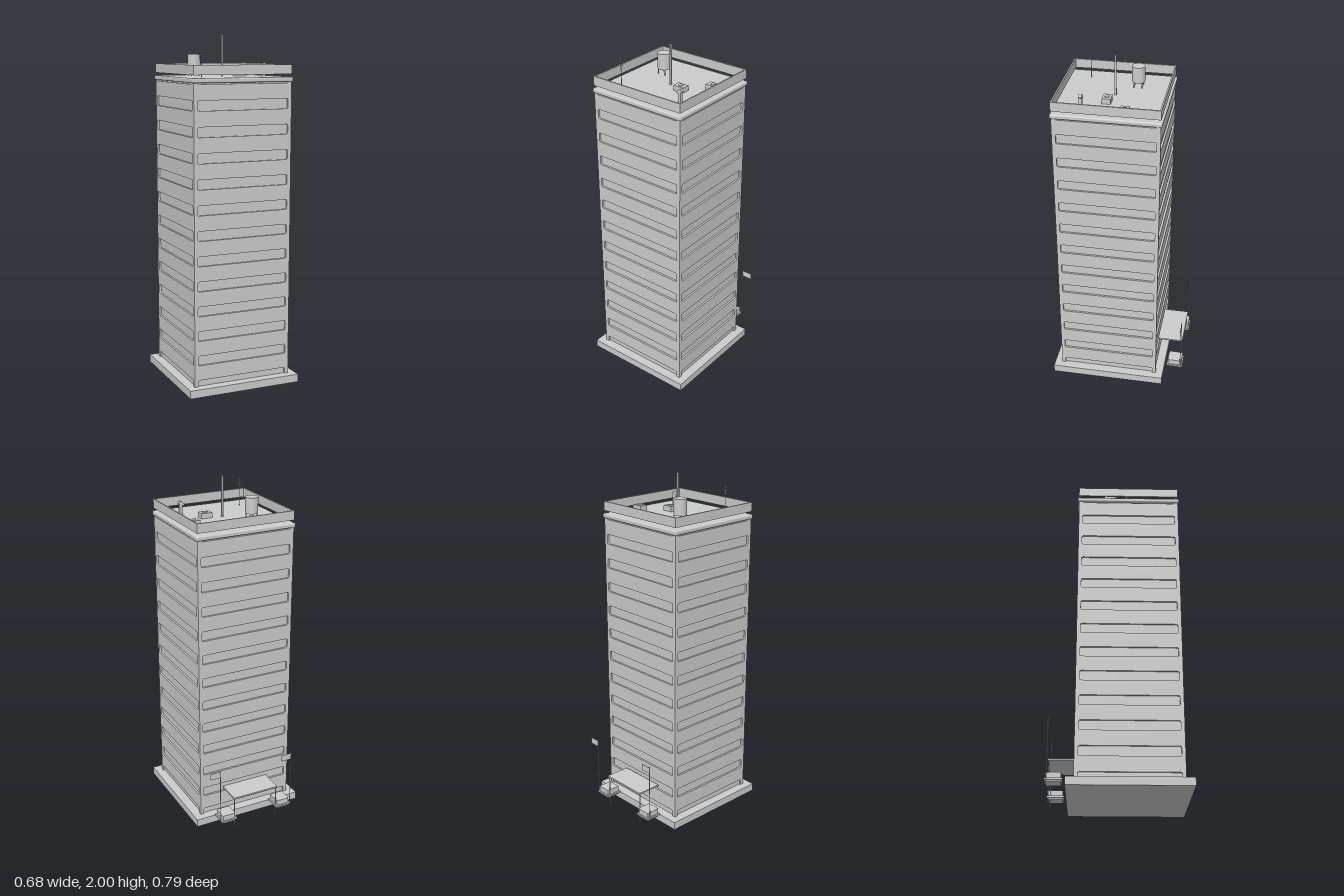
import * as THREE from 'three';
import { RoundedBoxGeometry } from 'three/addons/geometries/RoundedBoxGeometry.js';

const CZ = 0.055;      // tower centre in z
const ROOF = 1.768;    // roof floor height
const mat = new THREE.MeshStandardMaterial({ color: 0xcccccc, flatShading: true });
const smooth = new THREE.MeshStandardMaterial({ color: 0xcccccc });

function add(parent, name, geo, x = 0, y = 0, z = 0, material = mat) {
  const m = new THREE.Mesh(geo, material);
  m.name = name;
  m.position.set(x, y, z);
  parent.add(m);
  return m;
}

// box given by its bounds in x, y and z
function box(parent, name, x0, x1, y0, y1, z0, z1) {
  return add(parent, name, new THREE.BoxGeometry(x1 - x0, y1 - y0, z1 - z0),
    (x0 + x1) / 2, (y0 + y1) / 2, (z0 + z1) / 2);
}

// upright cylinder standing on y0
function post(parent, name, r, y0, y1, x, z, sides = 8) {
  return add(parent, name, new THREE.CylinderGeometry(r, r, y1 - y0, sides), x, (y0 + y1) / 2, z, smooth);
}

function roundRect(path, x0, y0, x1, y1, r) {
  path.moveTo(x0 + r, y0);
  path.lineTo(x1 - r, y0);
  path.quadraticCurveTo(x1, y0, x1, y0 + r);
  path.lineTo(x1, y1 - r);
  path.quadraticCurveTo(x1, y1, x1 - r, y1);
  path.lineTo(x0 + r, y1);
  path.quadraticCurveTo(x0, y1, x0, y1 - r);
  path.lineTo(x0, y0 + r);
  path.quadraticCurveTo(x0, y0, x0 + r, y0);
  return path;
}

const square = (Type, h) =>
  new Type([[-h, -h], [h, -h], [h, h], [-h, h]].map(([x, y]) => new THREE.Vector2(x, y)));

function buildTower(g) {
  box(g, 'plinth', -0.338, 0.338, 0, 0.046, CZ - 0.338, CZ + 0.338);
  box(g, 'windowCore', -0.283, 0.283, 0.01, 1.76, CZ - 0.283, CZ + 0.283);

  // one wall with rows of rounded window bands, turned to the four sides
  const half = 0.294, depth = 0.014;
  const shape = new THREE.Shape([
    new THREE.Vector2(-half, 0.01), new THREE.Vector2(half, 0.01),
    new THREE.Vector2(half, 1.765), new THREE.Vector2(-half, 1.765)]);
  for (let i = 0; i < 13; i++) {
    const y = 0.055 + i * 0.1424;
    shape.holes.push(roundRect(new THREE.Path(), -0.273, y - 0.028, 0.273, Math.min(y + 0.028, 1.76), 0.01));
  }
  const wall = new THREE.ExtrudeGeometry(shape, { depth, bevelEnabled: false, curveSegments: 4 });
  wall.translate(0, 0, half - depth);
  for (let i = 0; i < 4; i++) {
    add(g, 'wall', wall, 0, 0, CZ).rotation.y = i * Math.PI / 2;
  }

  // rounded cornice that also carries the roof floor
  add(g, 'cornice', new RoundedBoxGeometry(0.604, 0.026, 0.604, 3, 0.008), 0, ROOF - 0.013, CZ, smooth);

  // parapet frame just above the cornice
  const frame = square(THREE.Shape, 0.295);
  frame.holes.push(square(THREE.Path, 0.287));
  const parapet = new THREE.ExtrudeGeometry(frame, { depth: 0.053, bevelEnabled: false });
  parapet.rotateX(-Math.PI / 2);
  add(g, 'parapet', parapet, 0, 1.784, CZ);
}

function buildRoof(g) {
  // water tank on legs
  post(g, 'waterTank', 0.037, 1.8, 1.891, -0.13, -0.05, 32);
  for (const sx of [-1, 1]) for (const sz of [-1, 1]) {
    post(g, 'tankLeg', 0.003, ROOF, 1.805, -0.13 + sx * 0.023, -0.05 + sz * 0.023);
  }

  // cooling units with a fan on top
  for (const [x, z] of [[0.093, 0.084], [0.222, -0.033]]) {
    box(g, 'coolingUnit', x - 0.033, x + 0.033, ROOF, 1.798, z - 0.024, z + 0.024);
    post(g, 'coolingFan', 0.014, 1.796, 1.802, x, z, 20);
  }

  // tall mast
  box(g, 'mast', -0.005, 0.005, ROOF, 2, CZ - 0.005, CZ + 0.005);

  // aerial with cross bars
  post(g, 'aerialPole', 0.002, ROOF, 1.932, -0.2, 0.232);
  [[1.925, 0.014], [1.906, 0.02], [1.89, 0.016]].forEach(([y, w]) =>
    box(g, 'aerialBar', -0.2 - w, -0.2 + w, y - 0.0015, y + 0.0015, 0.2305, 0.2335));

  // bent vent pipe
  const vent = new THREE.Shape([
    [0.178, ROOF], [0.196, ROOF], [0.196, 1.825], [0.203, 1.832], [0.192, 1.846],
    [0.178, 1.838], [0.165, 1.826], [0.170, 1.816], [0.178, 1.820],
  ].map(([x, y]) => new THREE.Vector2(x, y)));
  add(g, 'ventPipe', new THREE.ExtrudeGeometry(vent, { depth: 0.018, bevelEnabled: false }), 0, 0, 0.2);
}

function buildEntrance(g) {
  box(g, 'canopy', -0.145, 0.145, 0.19, 0.199, -0.383, -0.235);
  for (const s of [-1, 1]) {
    post(g, 'canopyPost', 0.003, 0, 0.192, s * 0.139, -0.376);

    // planter: rounded trough with a flange
    const x = s * 0.181, z = -0.3475;
    box(g, 'planterFlange', x - 0.049, x + 0.049, 0.058, 0.068, z - 0.049, z + 0.049);
    const trough = new THREE.ExtrudeGeometry(
      roundRect(new THREE.Shape(), -0.041, -0.042, 0.041, 0.042, 0.006),
      { depth: 0.052, bevelEnabled: false, curveSegments: 3 });
    trough.rotateX(-Math.PI / 2);
    add(g, 'planter', trough, x, 0.048, z);

    // flagpole; both flags fly towards +x
    const px = s * 0.234;
    post(g, 'flagpole', 0.0025, 0.05, 0.408, px, -0.383);
    box(g, 'flag', px, px + 0.064, 0.364, 0.403, -0.384, -0.382);
  }
}

export function createModel() {
  const g = new THREE.Group();
  g.name = 'officeTower';
  for (const [name, build] of [['tower', buildTower], ['roofEquipment', buildRoof], ['entrance', buildEntrance]]) {
    const part = new THREE.Group();
    part.name = name;
    build(part);
    g.add(part);
  }
  return g;
}
